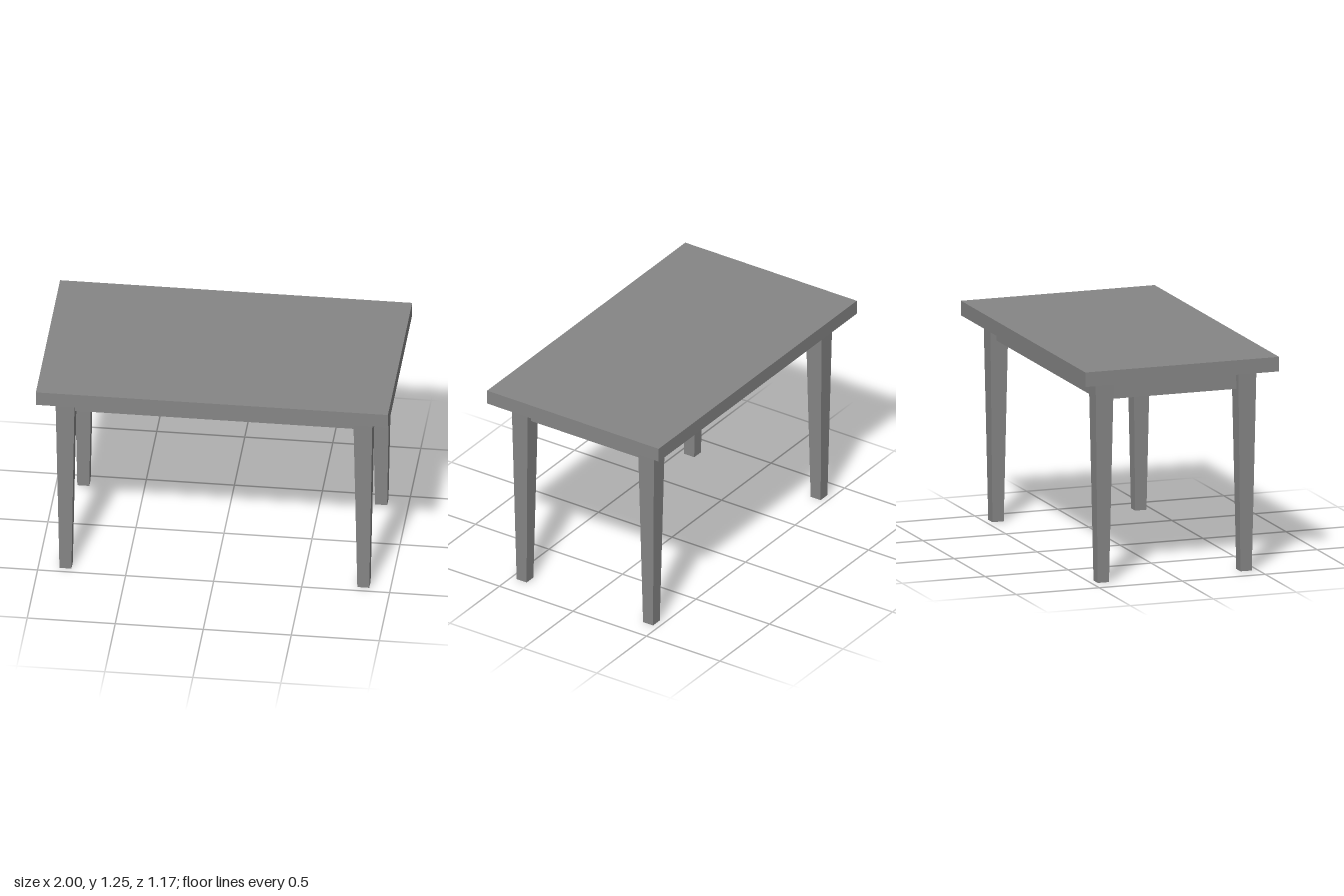
import * as THREE from 'three';

const material = new THREE.MeshStandardMaterial({ color: 0x868686, flatShading: true });

const LEG_X = 0.846, LEG_Z = 0.43; // leg centres
const LEG_TOP = 0.109, LEG_FOOT = 0.068; // leg widths
const TOP_Y = 1.25, UNDER_Y = 1.166, APRON_Y = 1.053;

function add(group, name, geometry, x, y, z) {
  const mesh = new THREE.Mesh(geometry, material);
  mesh.name = name;
  mesh.position.set(x, y, z);
  group.add(mesh);
}

// Square leg narrowing evenly towards the foot
function taperedLeg() {
  const geometry = new THREE.BoxGeometry(LEG_TOP, UNDER_Y, LEG_TOP);
  const p = geometry.attributes.position;
  const k = LEG_FOOT / LEG_TOP;
  for (let i = 0; i < p.count; i++) {
    if (p.getY(i) < 0) p.setXYZ(i, p.getX(i) * k, p.getY(i), p.getZ(i) * k);
  }
  geometry.computeVertexNormals();
  return geometry;
}

export function createModel() {
  const table = new THREE.Group();
  table.name = 'table';

  add(table, 'tableTop', new THREE.BoxGeometry(2, TOP_Y - UNDER_Y, 1.167), 0, (TOP_Y + UNDER_Y) / 2, 0);

  // Legs at the four corners
  const leg = taperedLeg();
  for (const [side, sx] of [['Left', 1], ['Right', -1]]) {
    for (const [end, sz] of [['front', 1], ['back', -1]]) {
      add(table, `${end}${side}Leg`, leg, sx * LEG_X, UNDER_Y / 2, sz * LEG_Z);
    }
  }

  // Aprons between the legs, set back from their outer faces
  const height = UNDER_Y - APRON_Y, y = (UNDER_Y + APRON_Y) / 2, thick = 0.035;
  const long = new THREE.BoxGeometry(2 * LEG_X - LEG_TOP + 0.004, height, thick);
  const short = new THREE.BoxGeometry(thick, height, 2 * LEG_Z - LEG_TOP + 0.004);
  add(table, 'frontApron', long, 0, y, LEG_Z);
  add(table, 'backApron', long, 0, y, -LEG_Z);
  add(table, 'leftApron', short, LEG_X, y, 0);
  add(table, 'rightApron', short, -LEG_X, y, 0);

  return table;
}
